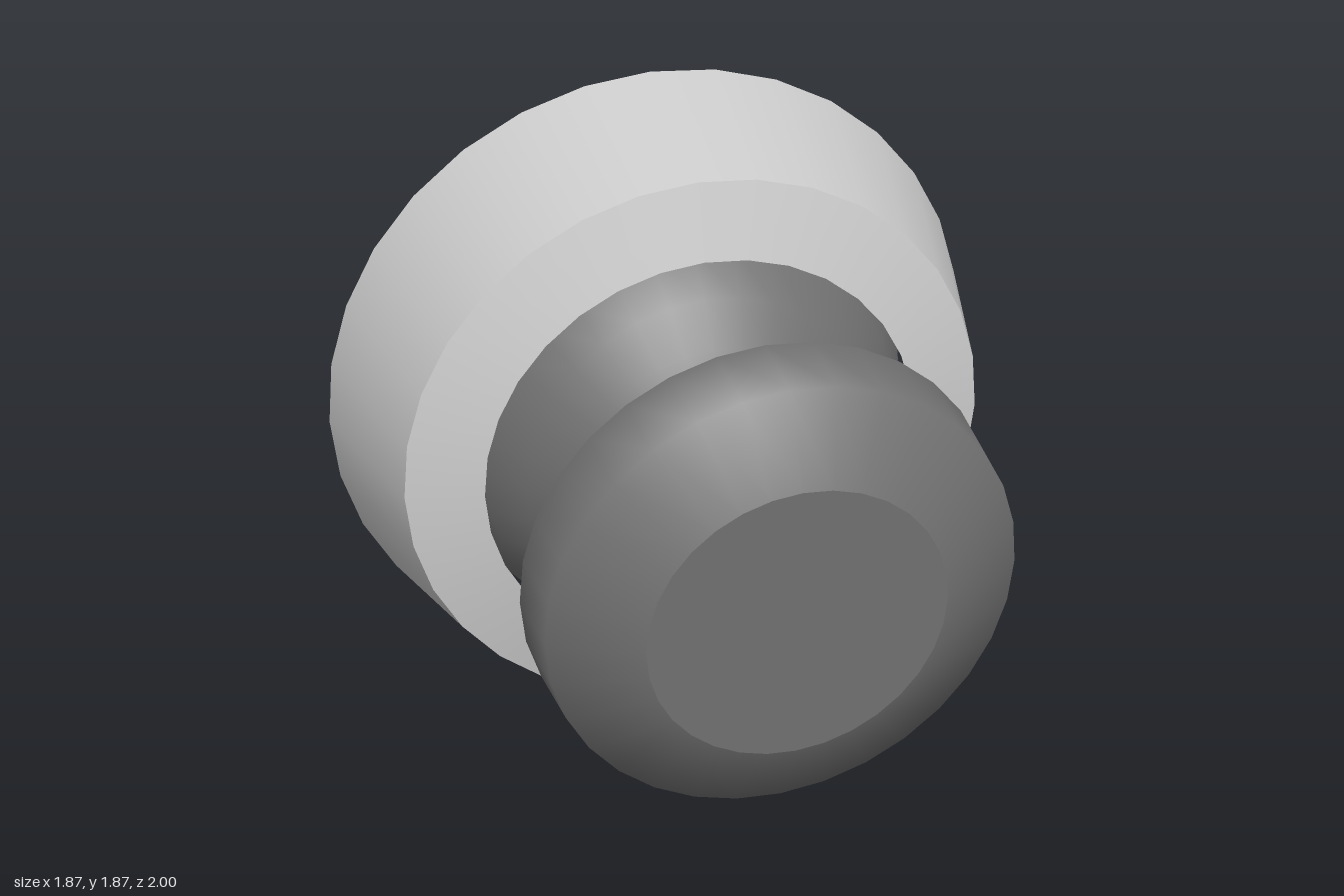
import * as THREE from 'three';

const SIDES = 32;
const AXIS_Y = 0.937;

const darkMaterial = new THREE.MeshStandardMaterial({ color: 0x707070 });
const ringMaterial = new THREE.MeshStandardMaterial({ color: 0xcccccc, side: THREE.DoubleSide });

// Turns a profile of [radius, z] points, back to front, around the z axis.
function turned(name, profile, material) {
  const points = profile.map(([r, z]) => new THREE.Vector2(r, z));
  const geometry = new THREE.LatheGeometry(points, SIDES).rotateX(Math.PI / 2);
  const mesh = new THREE.Mesh(geometry, material);
  mesh.name = name;
  return mesh;
}

export function createModel() {
  const model = new THREE.Group();
  model.name = 'ballJoint';

  // Ball, closed at the back and ending where the neck begins
  const ballRadius = 0.71;
  const ballZ = -0.29;
  const ballProfile = [];
  for (let i = 0; i <= 14; i++) {
    const a = (i / 16) * Math.PI;
    ballProfile.push([ballRadius * Math.sin(a), ballZ - ballRadius * Math.cos(a)]);
  }
  model.add(turned('ball', ballProfile, darkMaterial));

  // Neck between ball and knob
  model.add(turned('neck', [[0.272, 0.366], [0.272, 0.7]], darkMaterial));

  // Knob: flat back, rounded side and flat front, with sharp edges between them
  const knob = new THREE.Group();
  knob.name = 'knob';
  knob.add(
    turned('knobBack', [[0.272, 0.7], [0.638, 0.7]], darkMaterial),
    turned('knobSide', [[0.638, 0.7], [0.622, 0.893], [0.395, 1]], darkMaterial),
    turned('knobFront', [[0.395, 1], [0, 1]], darkMaterial)
  );
  model.add(knob);

  // Thin open collar around the ball: flared wall and bevelled front lip
  const collar = new THREE.Group();
  collar.name = 'collar';
  collar.add(
    turned('collarWall', [[0.937, -0.285], [0.817, 0.153]], ringMaterial),
    turned('collarLip', [[0.817, 0.153], [0.61, 0.207]], ringMaterial)
  );
  model.add(collar);

  model.children.forEach((part) => { part.position.y = AXIS_Y; });
  return model;
}
